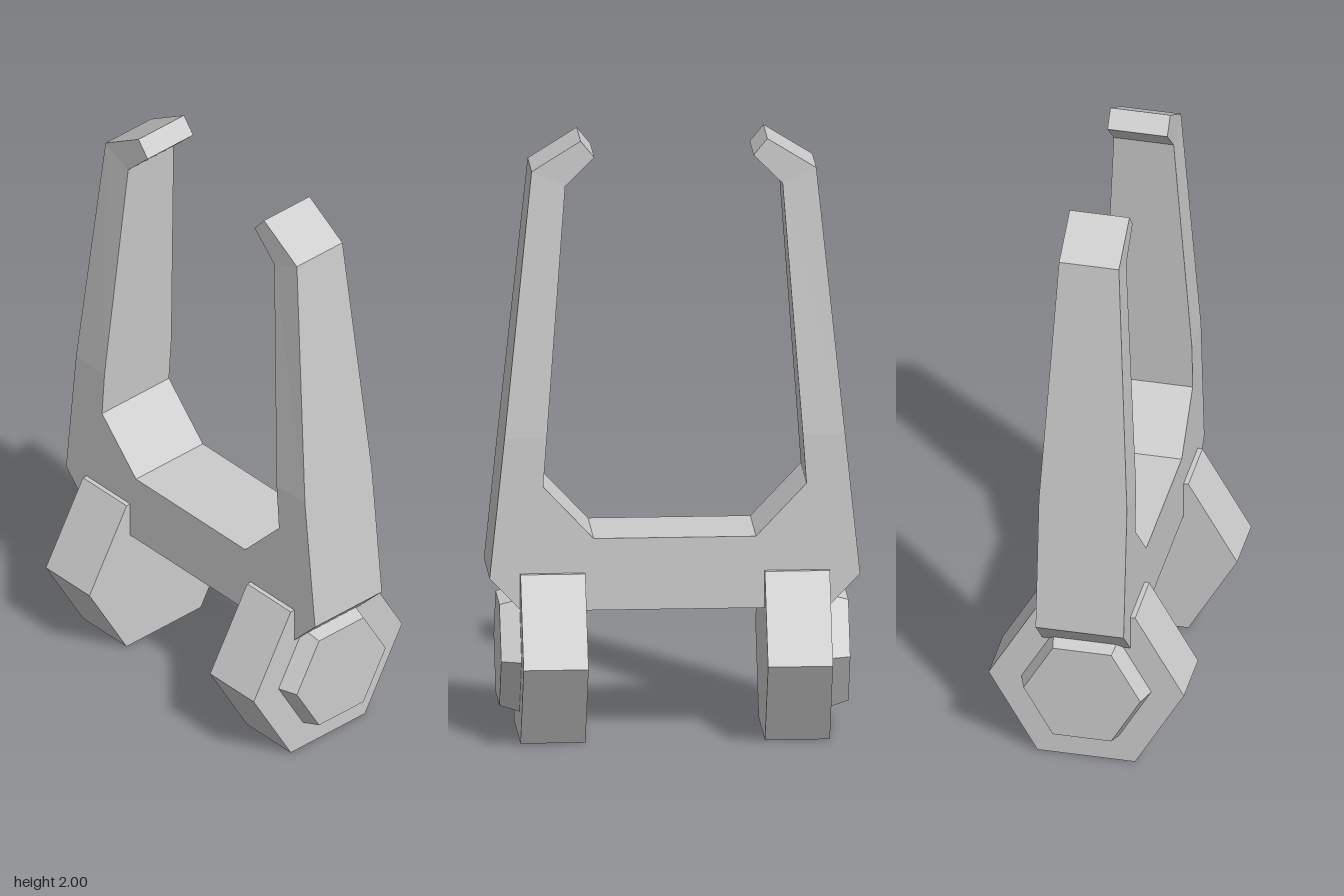
import * as THREE from 'three';

const material = new THREE.MeshStandardMaterial({ color: 0xcccccc, flatShading: true });

// Half of the fork, tip to base: inner x, inner y, outer x, outer y, half depth
const HALF = [
  [0.26, 1.945, 0.305, 2.0, 0.1],
  [0.355, 1.85, 0.465, 1.9, 0.1],
  [0.418, 1.02, 0.556, 1.02, 0.147],
  [0.43, 0.855, 0.605, 0.55, 0.147],
  [0.265, 0.68, 0.5, 0.44, 0.147],
];

// Loft of four-cornered sections running from one tip to the other
function forkGeometry() {
  const mirrored = HALF.map(([ix, iy, ox, oy, d]) => [-ix, iy, -ox, oy, d]).reverse();
  const sections = [...HALF, ...mirrored].map(([ix, iy, ox, oy, d]) => [
    [ix, iy, d], [ox, oy, d], [ox, oy, -d], [ix, iy, -d],
  ]);
  const positions = [];
  const quad = (a, b, c, d) => positions.push(...a, ...b, ...c, ...a, ...c, ...d);
  for (let i = 0; i < sections.length - 1; i++) {
    const s = sections[i], t = sections[i + 1];
    for (let k = 0; k < 4; k++) {
      const n = (k + 1) % 4;
      quad(s[k], t[k], t[n], s[n]);
    }
  }
  quad(...sections[0]);
  quad(...[...sections[sections.length - 1]].reverse());
  const geometry = new THREE.BufferGeometry();
  geometry.setAttribute('position', new THREE.Float32BufferAttribute(positions, 3));
  geometry.computeVertexNormals();
  return geometry;
}

// Six-sided prism lying along x, spanning x0 (inner) to x1 (outer)
function hexPrism(name, side, x0, x1, innerRadius, outerRadius) {
  const geometry = new THREE.CylinderGeometry(outerRadius, innerRadius, x1 - x0, 6);
  geometry.rotateZ(-side * Math.PI / 2);
  const mesh = new THREE.Mesh(geometry, material);
  mesh.name = name;
  mesh.position.x = side * (x0 + x1) / 2;
  return mesh;
}

export function createModel() {
  const model = new THREE.Group();
  model.name = 'forkOnWheels';

  const fork = new THREE.Mesh(forkGeometry(), material);
  fork.name = 'fork';
  model.add(fork);

  // Wheels with tapered outer hubs
  for (const side of [1, -1]) {
    const wheel = new THREE.Group();
    wheel.name = side > 0 ? 'leftWheel' : 'rightWheel';
    wheel.position.y = 0.283;
    wheel.add(hexPrism('tread', side, 0.293, 0.505, 0.326, 0.326));
    wheel.add(hexPrism('hub', side, 0.505, 0.57, 0.217, 0.195));
    model.add(wheel);
  }
  return model;
}
